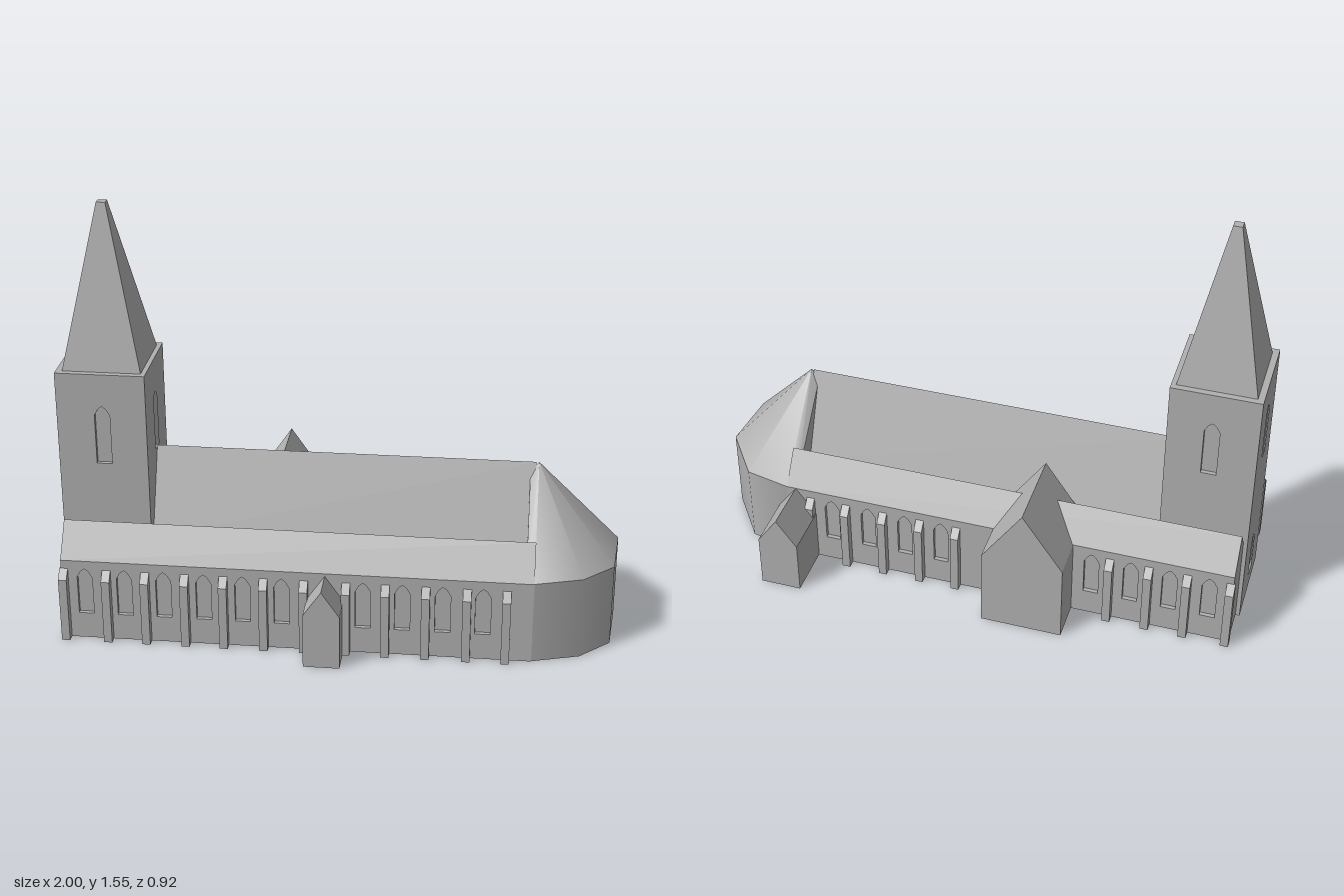
import * as THREE from 'three';
import { toCreasedNormals } from 'three/addons/utils/BufferGeometryUtils.js';
import { ConvexGeometry } from 'three/addons/geometries/ConvexGeometry.js';

const ZC = 0.035;          // long axis of the church
const WALL = 0.015;        // depth of the window recesses

export function createModel() {
  const group = new THREE.Group();
  const stone = new THREE.MeshStandardMaterial({ color: 0xb0b0b0 });
  stone.name = 'stone grey';

  const add = (name, geometry) => {
    const mesh = new THREE.Mesh(geometry, stone);
    mesh.name = name;
    group.add(mesh);
    return mesh;
  };
  const shapeOf = (pts) => new THREE.Shape(pts.map(([x, y]) => new THREE.Vector2(x, y)));

  // Extrude an (x, y) outline from z0 to z1
  const alongZ = (pts, z0, z1, holes = []) => {
    const shape = shapeOf(pts);
    shape.holes = holes.map((h) => new THREE.Path(shapeOf(h).getPoints()));
    return new THREE.ExtrudeGeometry(shape, { depth: z1 - z0, bevelEnabled: false }).translate(0, 0, z0);
  };
  // Extrude a (z, y) outline from x0 to x1
  const alongX = (pts, x0, x1, holes = []) => {
    const flip = (list) => list.map(([z, y]) => [-z, y]);
    return alongZ(flip(pts), 0, x1 - x0, holes.map(flip)).rotateY(Math.PI / 2).translate(x0, 0, 0);
  };
  const rect = (a, b, y0, y1) => [[a, y0], [b, y0], [b, y1], [a, y1]];
  const lancet = (c, y0, y1, w = 0.055) => [
    [c - w / 2, y0], [c + w / 2, y0], [c + w / 2, y1 - 0.035],
    [c + w / 4, y1 - 0.011], [c, y1], [c - w / 4, y1 - 0.011], [c - w / 2, y1 - 0.035],
  ];
  const house = (x0, x1, eave, ridge) => [
    [x0, 0], [x1, 0], [x1, eave], [(x0 + x1) / 2, ridge], [x0, eave],
  ];

  // Steep nave between the aisles
  add('nave', alongX([[ZC - 0.14, 0], [ZC + 0.14, 0], [ZC + 0.14, 0.325], [ZC, 0.64], [ZC - 0.14, 0.325]], -0.72, 0.69));

  // Gabled aisles with pierced outer walls and buttresses
  const windows = [-0.9, -0.757, -0.615, -0.47, -0.33, -0.19, 0.1, 0.24, 0.383, 0.525];
  const buttresses = [-0.975, -0.82, -0.68, -0.537, -0.398, -0.254, -0.11, 0.04, 0.18, 0.323, 0.468, 0.607];
  for (const side of [1, -1]) {
    const prefix = side > 0 ? 'front' : 'back';
    const z = (d) => ZC + side * d;
    const outer = z(0.302);
    const inner = z(0.302 - WALL);
    const free = (x) => side > 0 || x < -0.41 || x > -0.09;
    add(prefix + 'Aisle', alongX([
      [z(0.14), 0], [inner, 0], [inner, 0.31], [outer, 0.31], [z(0.217), 0.43], [z(0.14), 0.325],
    ], -0.985, 0.7));
    add(prefix + 'AisleWall', alongZ(rect(-0.985, 0.7, 0, 0.31), Math.min(outer, inner), Math.max(outer, inner),
      windows.filter(free).map((x) => lancet(x, 0.1, 0.28))));
    for (const x of buttresses.filter(free)) {
      add(prefix + 'Buttress', alongX([
        [z(0.295), 0], [z(0.332), 0], [z(0.332), 0.245], [z(0.302), 0.278], [z(0.295), 0.278],
      ], x - 0.015, x + 0.015));
    }
  }

  // Transept, porch and vestry
  add('transept', alongZ(house(-0.4, -0.1, 0.306, 0.525), -0.415, -0.105));
  add('porch', alongZ(house(-0.1, 0.03, 0.205, 0.3), 0.3, 0.457));
  add('vestry', alongZ(house(0.59, 0.74, 0.205, 0.31), -0.463, -0.2));

  // Polygonal apse with a half-conical roof
  const plan = [[0.67, 0.32], [0.7, 0.335], [0.87, 0.283], [0.98, 0.177], [1, -0.05], [0.87, -0.23], [0.7, -0.267], [0.67, -0.25]];
  const ring = (y) => plan.map(([x, z]) => new THREE.Vector3(x, y, z));
  add('apseWall', toCreasedNormals(new ConvexGeometry([...ring(0), ...ring(0.31)]), 0.74));
  add('apseRoof', toCreasedNormals(new ConvexGeometry([
    ...ring(0.31), new THREE.Vector3(0.7, 0.64, ZC), new THREE.Vector3(0.67, 0.61, ZC),
  ]), 0.74));

  // Tower core and four pierced walls
  const [x0, x1, z0, z1, top] = [-1, -0.68, -0.126, 0.2, 0.975];
  const cx = (x0 + x1) / 2 + 0.003, cz = (z0 + z1) / 2;
  add('towerCore', alongZ(rect(x0 + WALL, x1 - WALL, 0, top), z0 + WALL, z1 - WALL));
  const xOpening = lancet(cx, 0.635, 0.855);
  const zOpening = lancet(cz, 0.635, 0.855);
  const door = lancet(cz, 0.08, 0.26);
  add('towerFront', alongZ(rect(x0, x1, 0, top), z1 - WALL, z1, [xOpening]));
  add('towerBack', alongZ(rect(x0, x1, 0, top), z0, z0 + WALL, [xOpening]));
  const across = rect(z0 + WALL, z1 - WALL, 0, top);
  add('towerLeft', alongX(across, x1 - WALL, x1, [zOpening]));
  add('towerRight', alongX(across, x0, x0 + WALL, [zOpening, door]));

  // Blunt four-sided spire
  const spire = new THREE.CylinderGeometry(0.016 * Math.SQRT2, 0.14 * Math.SQRT2, 0.58, 4).rotateY(Math.PI / 4);
  add('spire', toCreasedNormals(spire, 0.3)).position.set(cx, top + 0.29, cz);

  return group;
}
